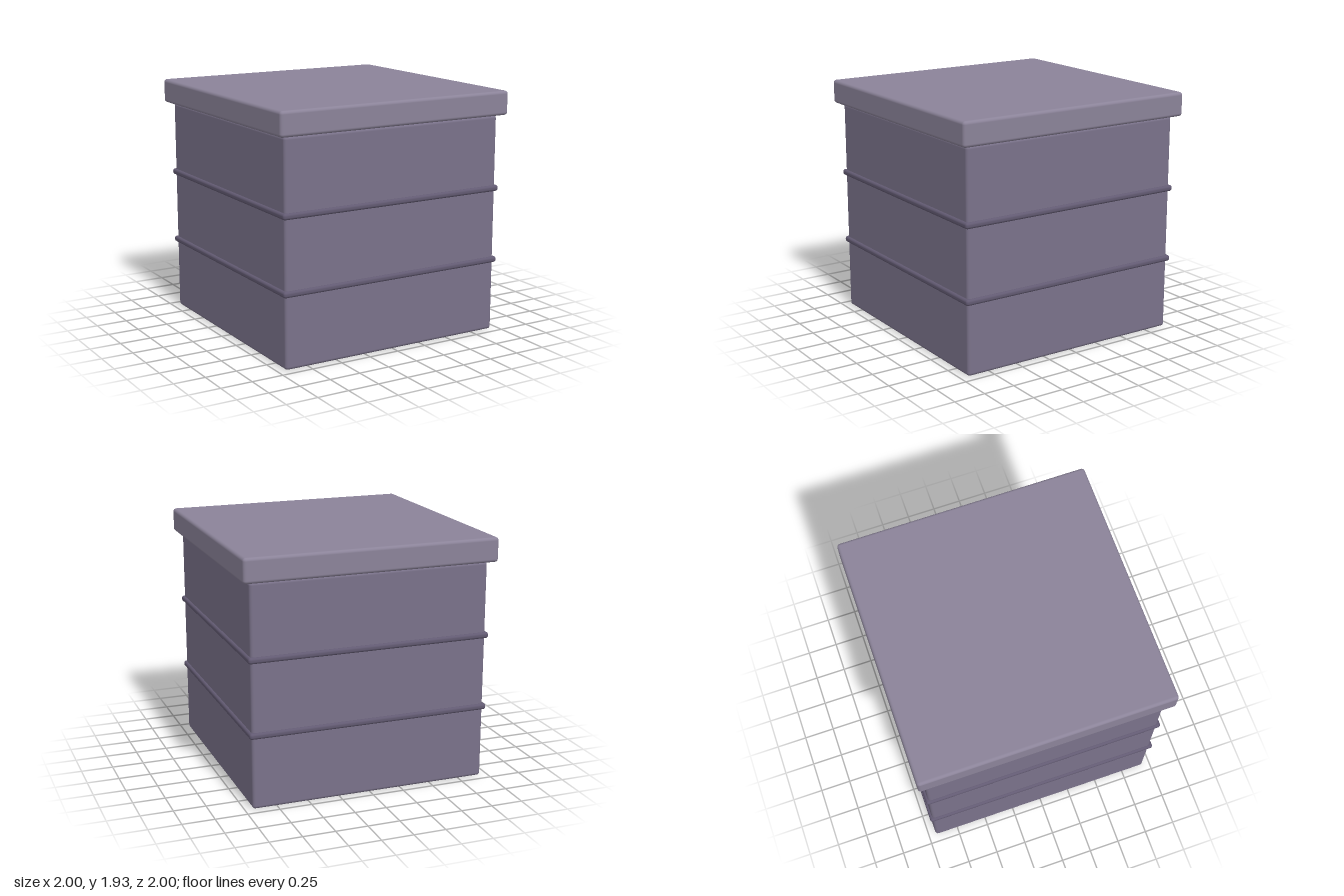
import * as THREE from 'three';
import { RoundedBoxGeometry } from 'three/addons/geometries/RoundedBoxGeometry.js';

export function createModel() {
  const group = new THREE.Group();
  group.name = 'liddedBox';

  const shell = new THREE.MeshStandardMaterial({ color: 0x7a728a });
  const lidMaterial = new THREE.MeshStandardMaterial({ color: 0x8b8399 });
  const trim = new THREE.MeshStandardMaterial({ color: 0x625a72 });

  // Square rounded slab spanning y0 to y1
  function slab(name, width, y0, y1, radius, material) {
    const geometry = new RoundedBoxGeometry(width, y1 - y0, width, 3, radius);
    const mesh = new THREE.Mesh(geometry, material);
    mesh.name = name;
    mesh.position.y = (y0 + y1) / 2;
    group.add(mesh);
  }

  // Main box
  slab('body', 1.88, 0, 1.735, 0.025, shell);

  // Overhanging lid
  slab('lid', 2, 1.737, 1.927, 0.025, lidMaterial);

  // Two raised bands around the body
  [0.58, 1.158].forEach((y, i) => {
    slab(i === 0 ? 'lowerBand' : 'upperBand', 1.92, y - 0.024, y + 0.024, 0.02, trim);
  });

  return group;
}
